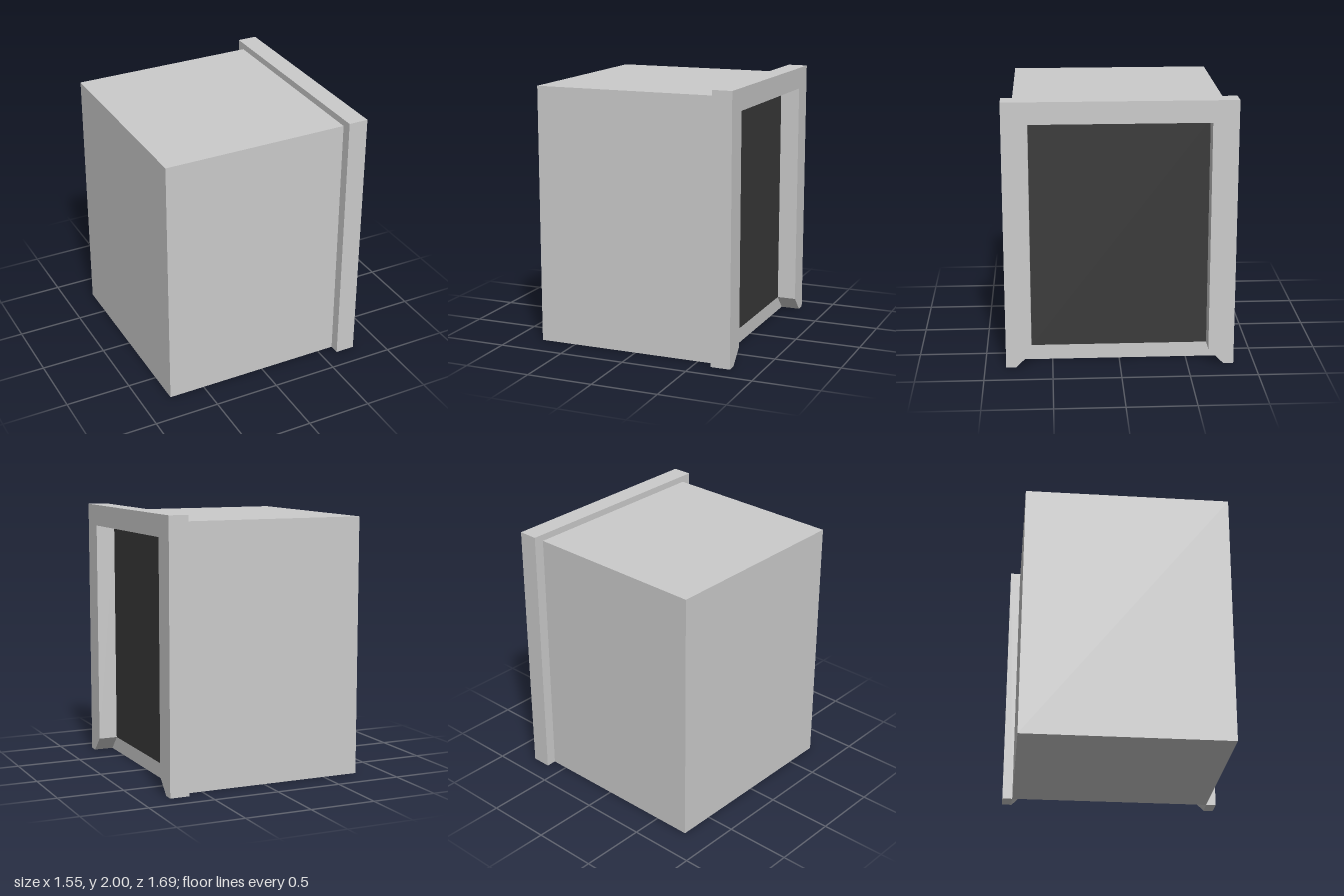
import * as THREE from 'three';

export function createModel() {
  const group = new THREE.Group();
  const grey = new THREE.MeshStandardMaterial({ color: 0xcccccc, flatShading: true });
  const dark = new THREE.MeshStandardMaterial({ color: 0x3a3a3a, flatShading: true });

  const back = -0.777, seam = 0.628, face = 0.777; // stations along x
  const add = (name, geometry, material) => {
    const mesh = new THREE.Mesh(geometry, material);
    mesh.name = name;
    group.add(mesh);
    return mesh;
  };

  // Plain closed body
  const body = add('body', new THREE.BoxGeometry(seam - back, 1.95, 1.536), grey);
  body.position.set((back + seam) / 2, 0.975, 0);

  // Surround, open at the bottom, with legs cut back at an angle at the foot
  const half = [[0.845, 2], [0.845, 0], [0.77, 0], [0.656, 0.115], [0.656, 1.838]];
  const mirrored = half.map(([z, y]) => [-z, y]).reverse();
  const outline = new THREE.Shape([...half, ...mirrored].map(([z, y]) => new THREE.Vector2(z, y)));
  const frame = add('frame',
    new THREE.ExtrudeGeometry(outline, { depth: face - seam, bevelEnabled: false }), grey);
  frame.rotation.y = Math.PI / 2;
  frame.position.x = seam;

  // Dark panel inside the surround
  const panel = add('panel', new THREE.PlaneGeometry(1.312, 1.723), dark);
  panel.rotation.y = Math.PI / 2;
  panel.position.set(seam + 0.002, 0.9765, 0);

  return group;
}
